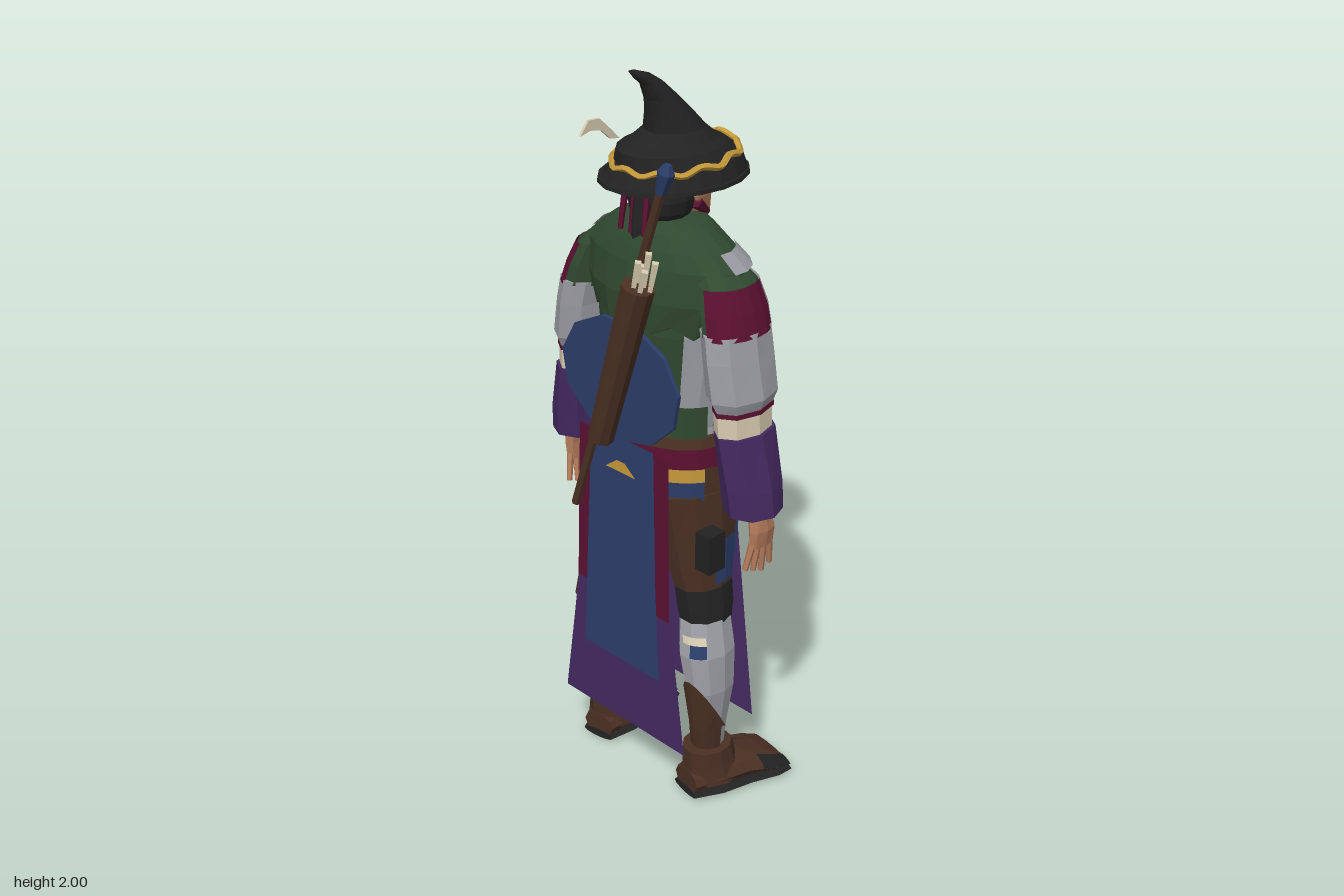
import * as THREE from 'three';

const mat = (name, color) => new THREE.MeshStandardMaterial({ name, color, flatShading: true, side: THREE.DoubleSide });
const M = {
  black: mat('black felt', 0x222222), green: mat('green cloth', 0x30492f), maroon: mat('maroon cloth', 0x5a1030),
  grey: mat('pale grey linen', 0x9b9ca3), purple: mat('purple cloth', 0x442960), blue: mat('blue cloth', 0x2b3d69),
  brown: mat('brown leather', 0x4a3023), gold: mat('gold trim', 0xc4983a), skin: mat('skin', 0xb57c5c), cream: mat('cream', 0xd6caae),
};
const V = (x, y, z) => new THREE.Vector3(x, y, z);

function add(parent, name, geo, material) {
  const m = new THREE.Mesh(geo, material);
  m.name = name;
  parent.add(m);
  return m;
}

// Elliptical cross-sections [y, cx, cz, rx, rz] joined bottom to top; a0..a1 limits the arc, grow puffs it out
function loft(rings, n = 12, a0 = 0, a1 = Math.PI * 2, grow = 0) {
  const pos = [], idx = [], full = a1 - a0 > 6.28;
  for (const [y, cx, cz, rx, rz] of rings)
    for (let j = 0; j <= n; j++) {
      const a = a0 + (a1 - a0) * j / n;
      pos.push(cx + (rx + grow) * Math.cos(a), y, cz + (rz + grow) * Math.sin(a));
    }
  const w = n + 1, top = (rings.length - 1) * w;
  for (let i = 0; i < rings.length - 1; i++)
    for (let j = 0; j < n; j++) {
      const a = i * w + j, b = a + w;
      idx.push(a, b, a + 1, b, b + 1, a + 1);
    }
  if (full) {
    for (let j = 1; j < n - 1; j++) idx.push(0, j, j + 1, top, top + j + 1, top + j);
  }
  const g = new THREE.BufferGeometry();
  g.setAttribute('position', new THREE.Float32BufferAttribute(pos, 3));
  g.setIndex(idx);
  g.computeVertexNormals();
  return g;
}

// Hanging cloth from rows [y, z, x0, x1]
function cloth(rows) {
  const g = new THREE.PlaneGeometry(1, 1, 1, rows.length - 1), p = g.attributes.position;
  rows.forEach(([y, z, x0, x1], i) => { p.setXYZ(2 * i, x0, y, z); p.setXYZ(2 * i + 1, x1, y, z); });
  g.computeVertexNormals();
  return g;
}

// Straight tapered rod between two points
function rod(a, b, ra, rb = ra, n = 7) {
  const d = b.clone().sub(a), g = new THREE.CylinderGeometry(rb, ra, d.length(), n);
  g.applyQuaternion(new THREE.Quaternion().setFromUnitVectors(V(0, 1, 0), d.normalize()));
  const c = a.clone().add(b).multiplyScalar(0.5);
  return g.translate(c.x, c.y, c.z);
}
const tube = (pts, r, closed = false) => new THREE.TubeGeometry(new THREE.CatmullRomCurve3(pts, closed), pts.length * 4, r, 5, closed);
const ball = (x, y, z, rx, ry, rz) => new THREE.SphereGeometry(1, 12, 8).scale(rx, ry, rz).translate(x, y, z);

function hat() {
  const g = new THREE.Group(); g.name = 'hat';
  add(g, 'hatBrim', loft([[1.72, 0, -0.03, 0.17, 0.205], [1.73, 0, -0.03, 0.168, 0.202]], 18), M.black);
  add(g, 'hatCrown', loft([[1.73, 0, -0.033, 0.158, 0.197], [1.77, 0, -0.043, 0.141, 0.172], [1.8, 0, -0.022, 0.12, 0.148], [1.812, 0, -0.025, 0.1, 0.12],
    [1.84, 0, -0.03, 0.073, 0.08], [1.88, 0, -0.01, 0.055, 0.062], [1.92, 0, 0.014, 0.038, 0.045],
    [1.96, 0, 0.046, 0.023, 0.032], [1.985, 0, 0.08, 0.013, 0.026], [2, 0, 0.11, 0.003, 0.01]], 18), M.black);
  // Wavy band lying on the slope of the crown
  const band = [];
  for (let i = 0; i < 20; i++) {
    const a = i * Math.PI / 10, y = 1.768 - 0.012 * Math.sin(a) + (i % 2) * 0.012, k = (y - 1.77) / 0.03;
    band.push(V((0.143 - 0.017 * k) * Math.cos(a), y, -0.043 + 0.01 * k + (0.173 - 0.018 * k) * Math.sin(a)));
  }
  add(g, 'hatBand', tube(band, 0.009, true), M.gold);
  // Upright curled feather
  const s = new THREE.Shape([[0.045, 1.8], [0.075, 1.83], [0.11, 1.862], [0.145, 1.864], [0.172, 1.83], [0.14, 1.838], [0.105, 1.832], [0.075, 1.805]].map(([z, y]) => new THREE.Vector2(-z, y)));
  add(g, 'feather', new THREE.ExtrudeGeometry(s, { depth: 0.008, bevelEnabled: false }).rotateY(Math.PI / 2).translate(-0.12, 0, 0), M.cream);
  return g;
}

function head() {
  const g = new THREE.Group(); g.name = 'head';
  add(g, 'neck', rod(V(0, 1.55, -0.01), V(0, 1.66, -0.03), 0.06, 0.055, 10), M.skin);
  add(g, 'face', loft([[1.59, 0, -0.095, 0.03, 0.035], [1.62, 0, -0.075, 0.058, 0.06], [1.67, 0, -0.055, 0.074, 0.08], [1.74, 0, -0.045, 0.076, 0.085]]), M.skin);
  add(g, 'nose', loft([[1.655, 0, -0.137, 0.015, 0.02], [1.665, 0, -0.137, 0.013, 0.02], [1.705, 0, -0.13, 0.006, 0.006]], 6), M.skin);
  add(g, 'mouth', new THREE.BoxGeometry(0.036, 0.007, 0.008).translate(0, 1.637, -0.135), M.maroon);
  add(g, 'hair', ball(0, 1.68, 0.015, 0.088, 0.085, 0.083), M.black);
  add(g, 'ponytail', loft([[1.565, 0, 0.09, 0.022, 0.02], [1.62, 0, 0.08, 0.032, 0.03], [1.7, 0, 0.06, 0.04, 0.04]], 8), M.black);
  for (const x of [-0.045, -0.012, 0.03]) add(g, 'hairRibbon', rod(V(x * 1.1, 1.6, 0.105), V(x, 1.72, 0.088), 0.007, 0.01, 5), M.maroon);
  for (const s of [-1, 1]) {
    add(g, 'eye', new THREE.BoxGeometry(0.022, 0.009, 0.008).translate(s * 0.034, 1.692, -0.121), M.black);
    add(g, 'sideWhisker', rod(V(s * 0.06, 1.625, -0.085), V(s * 0.07, 1.665, -0.035), 0.009, 0.018, 6), M.maroon);
    add(g, 'ear', ball(s * 0.078, 1.69, -0.035, 0.01, 0.024, 0.015), M.skin);
  }
  return g;
}

function torso() {
  const g = new THREE.Group(); g.name = 'torso';
  const body = [[1.02, 0, -0.01, 0.185, 0.13], [1.1, 0, 0, 0.17, 0.115], [1.22, 0, -0.005, 0.185, 0.125],
    [1.36, 0, -0.015, 0.205, 0.145], [1.5, 0, -0.01, 0.2, 0.13], [1.6, 0, -0.01, 0.08, 0.08]];
  add(g, 'shirt', loft(body, 16), M.grey);
  add(g, 'bluePanel', loft(body.slice(0, 5), 6, -2.25, -0.9, 0.006), M.blue);
  add(g, 'shirtBack', loft(body.slice(0, 5), 6, 0.75, 2.4, 0.004), M.green);
  for (const a of [0.25, 2.3]) add(g, 'shirtTail', loft([[1.06, 0, -0.005, 0.178, 0.123], [1.17, 0, -0.003, 0.18, 0.121]], 3, a, a + 0.6, 0.007), M.green);
  for (const a of [-2.35, -1.2]) add(g, 'leatherPatch', loft([body[0], body[1], [1.17, 0, -0.004, 0.18, 0.122]], 3, a, a + 0.45, 0.01), M.brown);
  for (const a of [-1.25, -2.3]) add(g, 'greenPatch', loft([body[1], body[2], [1.28, 0, -0.01, 0.193, 0.134]], 2, a, a + 0.4, 0.009), M.green);
  // Shoulder mantle with a ragged lower edge
  const mantle = [[1.36, 0, -0.015, 0.215, 0.152], [1.45, 0, -0.015, 0.248, 0.155], [1.535, 0, -0.01, 0.248, 0.137], [1.575, 0, -0.003, 0.2, 0.118], [1.61, 0, 0, 0.15, 0.1], [1.625, 0, 0, 0.12, 0.09], [1.635, 0, 0, 0.07, 0.07]];
  const cape = loft(mantle, 20), p = cape.attributes.position;
  for (let j = 0; j < 21; j++) p.setY(j, (p.getZ(j) < 0 ? 1.405 : 1.36) + (j % 2) * 0.03);
  add(g, 'mantle', cape, M.green);
  for (const a of [-0.75, 2.95]) add(g, 'mantlePatch', loft(mantle.slice(2, 4), 3, a, a + 0.9, 0.006), M.grey);
  add(g, 'necklace', tube([V(-0.09, 1.42, -0.166), V(-0.055, 1.36, -0.166), V(0, 1.325, -0.163), V(0.055, 1.36, -0.166), V(0.09, 1.42, -0.166)], 0.008), M.gold);
  return g;
}

// maroonFrom, maroonTo: arc of the shoulder covered by the maroon cap
function arm(maroonFrom, maroonTo) {
  const g = new THREE.Group(); g.name = 'arm';
  const cap = [[1.395, 0.252, 0.008, 0.066, 0.1], [1.45, 0.237, 0.003, 0.062, 0.098], [1.51, 0.215, 0, 0.058, 0.085], [1.55, 0.178, 0, 0.045, 0.06]];
  add(g, 'shoulder', loft(cap, 10), M.green);
  add(g, 'shoulderCap', loft(cap.slice(0, 3), 6, maroonFrom, maroonTo, 0.004), M.maroon);
  add(g, 'shoulderPatch', loft(cap, 3, maroonFrom - 0.85, maroonFrom, 0.004), M.grey);
  add(g, 'upperSleeve', loft([[1.205, 0.285, 0.012, 0.055, 0.088], [1.24, 0.28, 0.012, 0.073, 0.105], [1.34, 0.265, 0.012, 0.068, 0.108], [1.405, 0.252, 0.01, 0.069, 0.105]], 8), M.grey);
  add(g, 'armBand', loft([[1.2, 0.285, 0.012, 0.06, 0.093], [1.212, 0.285, 0.012, 0.06, 0.093]], 8), M.maroon);
  add(g, 'cuff', loft([[1.13, 0.288, 0.012, 0.056, 0.088], [1.2, 0.284, 0.012, 0.056, 0.09]], 8), M.cream);
  add(g, 'forearmSleeve', loft([[0.93, 0.323, 0.008, 0.072, 0.08], [1.0, 0.317, 0.01, 0.071, 0.086], [1.145, 0.292, 0.012, 0.06, 0.094]], 8), M.purple);
  add(g, 'palm', loft([[0.83, 0.345, -0.002, 0.016, 0.042], [0.88, 0.348, 0, 0.022, 0.044], [0.94, 0.34, 0.008, 0.026, 0.032]], 8), M.skin);
  for (let i = 0; i < 4; i++) {
    const z = -0.03 + i * 0.02;
    add(g, 'finger', rod(V(0.335, 0.745 + 0.012 * Math.abs(i - 1), z * 1.5), V(0.345, 0.845, z), 0.008, 0.011, 5), M.skin);
  }
  add(g, 'thumb', rod(V(0.315, 0.815, -0.062), V(0.337, 0.89, -0.03), 0.008, 0.013, 5), M.skin);
  return g;
}

function leg() {
  const g = new THREE.Group(); g.name = 'leg';
  add(g, 'trouserLeg', loft([[0.6, 0.137, -0.01, 0.065, 0.083], [0.7, 0.122, -0.01, 0.078, 0.1], [0.8, 0.11, -0.012, 0.09, 0.118], [0.92, 0.1, -0.012, 0.096, 0.138]], 10), M.brown);
  add(g, 'trouserPatch', loft([[0.65, 0.13, -0.01, 0.071, 0.09], [0.78, 0.112, -0.011, 0.088, 0.115]], 2, -0.5, 0.25, 0.005), M.blue);
  add(g, 'faceTrouserPatch', loft([[0.68, 0.125, -0.01, 0.075, 0.096], [0.88, 0.103, -0.012, 0.094, 0.132]], 2, -1.5, -1.0, 0.006), M.blue);
  add(g, 'kneeGuard', loft([[0.53, 0.15, -0.005, 0.066, 0.078], [0.575, 0.142, -0.01, 0.07, 0.087], [0.635, 0.134, -0.01, 0.07, 0.09]], 10), M.black);
  const calf = [[0.13, 0.185, 0.015, 0.04, 0.045], [0.22, 0.192, 0.02, 0.043, 0.056], [0.34, 0.194, 0.02, 0.056, 0.077], [0.45, 0.176, 0.015, 0.068, 0.086], [0.54, 0.152, 0, 0.063, 0.077]];
  add(g, 'stocking', loft(calf, 10), M.grey);
  // Leather on the back of the calf, slanting up toward the rear
  const patch = loft(calf.slice(0, 3), 6, 0, 2.3, 0.005), p = patch.attributes.position;
  for (let i = 14; i < p.count; i++) p.setY(i, 0.23 + 0.15 * Math.sin((i - 14) * 2.3 / 6));
  add(g, 'calfLeather', patch, M.brown);
  add(g, 'kneeTie', loft([[0.49, 0.167, 0.007, 0.067, 0.082], [0.51, 0.16, 0.004, 0.065, 0.08]], 4, 0.7, 1.6, 0.006), M.cream);
  add(g, 'kneeTieShade', loft([[0.455, 0.175, 0.013, 0.068, 0.085], [0.49, 0.167, 0.007, 0.067, 0.082]], 3, 0.7, 1.3, 0.005), M.blue);
  // Wide-toed shoe, turned slightly outward
  const shoe = new THREE.Group(); shoe.name = 'shoe';
  shoe.position.set(0.195, 0, 0);
  shoe.rotation.y = -0.17;
  add(shoe, 'shoeCuff', loft([[0.04, 0, 0.008, 0.077, 0.09], [0.09, 0, 0.018, 0.067, 0.08], [0.145, 0, 0.025, 0.062, 0.073]], 10), M.brown);
  const foot = [[-0.095, 0, 0.045, 0.05, 0.036], [-0.02, 0, 0.055, 0.074, 0.046], [0.07, 0, 0.053, 0.082, 0.042], [0.15, 0.005, 0.038, 0.094, 0.026], [0.195, 0.01, 0.03, 0.085, 0.013]];
  add(shoe, 'shoeUpper', loft(foot, 10).rotateX(-Math.PI / 2), M.brown);
  add(shoe, 'toeCap', loft([[0.105, 0.003, 0.047, 0.087, 0.035], foot[3], foot[4]], 3, 0.1, 0.95, 0.004).rotateX(-Math.PI / 2), M.black);
  add(shoe, 'sole', loft(foot.map(([t, x, , w]) => [t * 1.03, x, 0.012, w * 1.03, 0.012]), 10).rotateX(-Math.PI / 2), M.black);
  g.add(shoe);
  return g;
}

function hips() {
  const g = new THREE.Group(); g.name = 'hips';
  add(g, 'trouserTop', loft([[0.84, 0, -0.01, 0.195, 0.125], [0.92, 0, -0.014, 0.194, 0.142], [1.04, 0, -0.012, 0.19, 0.141]], 16), M.brown);
  add(g, 'waistband', loft([[1.0, 0, -0.008, 0.194, 0.143], [1.055, 0, -0.008, 0.19, 0.14]], 10, -0.3, 3.44, 0.003), M.maroon);
  add(g, 'belt', loft([[1.055, 0, -0.008, 0.196, 0.145], [1.082, 0, -0.008, 0.19, 0.14]], 16), M.brown);
  add(g, 'goldSash', loft([[0.965, 0, -0.005, 0.199, 0.143], [1.002, 0, -0.006, 0.198, 0.144]], 10, 0.35, 2.79, 0.004), M.gold);
  add(g, 'blueSash', loft([[0.91, 0, -0.007, 0.195, 0.142], [0.965, 0, -0.005, 0.198, 0.142]], 10, 0.35, 2.79, 0.004), M.blue);
  // Layered tabards, rear (+z) and face side (-z)
  const tail = (name, rows, m) => add(g, name, cloth(rows.map(([y, z, w]) => [y, z, -w, w])), m);
  tail('rearPurpleCloth', [[1.03, 0.146, 0.12], [0.58, 0.156, 0.178], [0.19, 0.16, 0.235]], M.purple);
  tail('rearMaroonCloth', [[1.05, 0.15, 0.165], [0.585, 0.159, 0.176]], M.maroon);
  tail('rearBlueCloth', [[1.06, 0.155, 0.115], [0.68, 0.164, 0.13], [0.39, 0.166, 0.145]], M.blue);
  tail('rearGoldMark', [[0.995, 0.16, 0.015], [0.965, 0.161, 0.055]], M.gold);
  tail('facePurpleCloth', [[0.95, -0.15, 0.12], [0.75, -0.125, 0.15], [0.19, -0.108, 0.235]], M.purple);
  tail('faceBlueCloth', [[1.06, -0.162, 0.1], [0.9, -0.16, 0.118], [0.68, -0.134, 0.13], [0.39, -0.122, 0.145]], M.blue);
  for (const s of [-1, 1]) {
    add(g, 'leatherFlap', cloth([[1.05, -0.166, s * 0.03, s * 0.13], [0.92, -0.165, s * 0.05, s * 0.15], [0.8, -0.152, s * 0.115, s * 0.125]]), M.brown);
    add(g, 'beltClasp', loft([[0.975, 0, -0.012, 0.193, 0.142], [1.0, 0, -0.012, 0.192, 0.142]], 2, -Math.PI / 2 + s * 0.85 - 0.13, -Math.PI / 2 + s * 0.85 + 0.13, 0.008), M.gold);
  }
  add(g, 'scroll', rod(V(0.02, 0.985, -0.13), V(0, 0.985, -0.227), 0.016, 0.016, 8), M.skin);
  add(g, 'scrollWrap', rod(V(0.02, 0.985, -0.13), V(0.012, 0.985, -0.17), 0.02, 0.02, 8), M.brown);
  add(g, 'pouch', new THREE.BoxGeometry(0.05, 0.11, 0.06).translate(0.212, 0.775, 0.045), M.black);
  add(g, 'beltPouch', new THREE.BoxGeometry(0.05, 0.07, 0.05).translate(-0.175, 1.07, -0.075), M.black);
  add(g, 'scabbard', rod(V(-0.205, 0.49, 0.125), V(-0.205, 1.0, -0.01), 0.018, 0.022, 6), M.brown);
  add(g, 'swordGrip', rod(V(-0.208, 0.99, -0.007), V(-0.208, 1.15, -0.04), 0.013), M.brown);
  return g;
}

function backGear() {
  const g = new THREE.Group(); g.name = 'backGear';
  const disc = new THREE.CylinderGeometry(1, 1, 0.012, 11).rotateX(Math.PI / 2).scale(0.212, 0.167, 1);
  add(g, 'roundShield', disc.translate(0, 1.225, 0.158), M.blue);
  add(g, 'shieldBoss', ball(-0.02, 1.24, 0.165, 0.02, 0.025, 0.012), M.blue);
  add(g, 'quiver', rod(V(-0.035, 1.065, 0.195), V(0.11, 1.52, 0.197), 0.034, 0.042, 9), M.brown);
  for (let i = 0; i < 5; i++) {
    const x = 0.09 + i * 0.011, z = 0.185 + (i % 2) * 0.024;
    add(g, 'arrow', rod(V(x, 1.5, z), V(x + 0.022, 1.57 + (i % 3) * 0.018, z), 0.007, 0.011, 4), M.cream);
  }
  add(g, 'staff', rod(V(-0.145, 0.83, 0.188), V(0.157, 1.77, 0.163), 0.012, 0.012, 7), M.brown);
  add(g, 'staffTip', rod(V(0.15, 1.75, 0.163), V(0.168, 1.805, 0.162), 0.013, 0.022, 6), M.blue);
  add(g, 'staffPoint', rod(V(0.168, 1.805, 0.162), V(0.173, 1.825, 0.161), 0.022, 0.01, 6), M.blue);
  return g;
}

export function createModel() {
  const model = new THREE.Group();
  model.name = 'hattedWanderer';
  model.add(hat(), head(), torso(), hips(), backGear());
  for (const s of [1, -1]) {
    const side = new THREE.Group();
    side.name = s > 0 ? 'leftLimbs' : 'rightLimbs';
    side.add(s > 0 ? arm(-0.8, 1.5) : arm(-0.3, 1.5), leg());
    side.scale.x = s;
    model.add(side);
  }
  return model;
}
